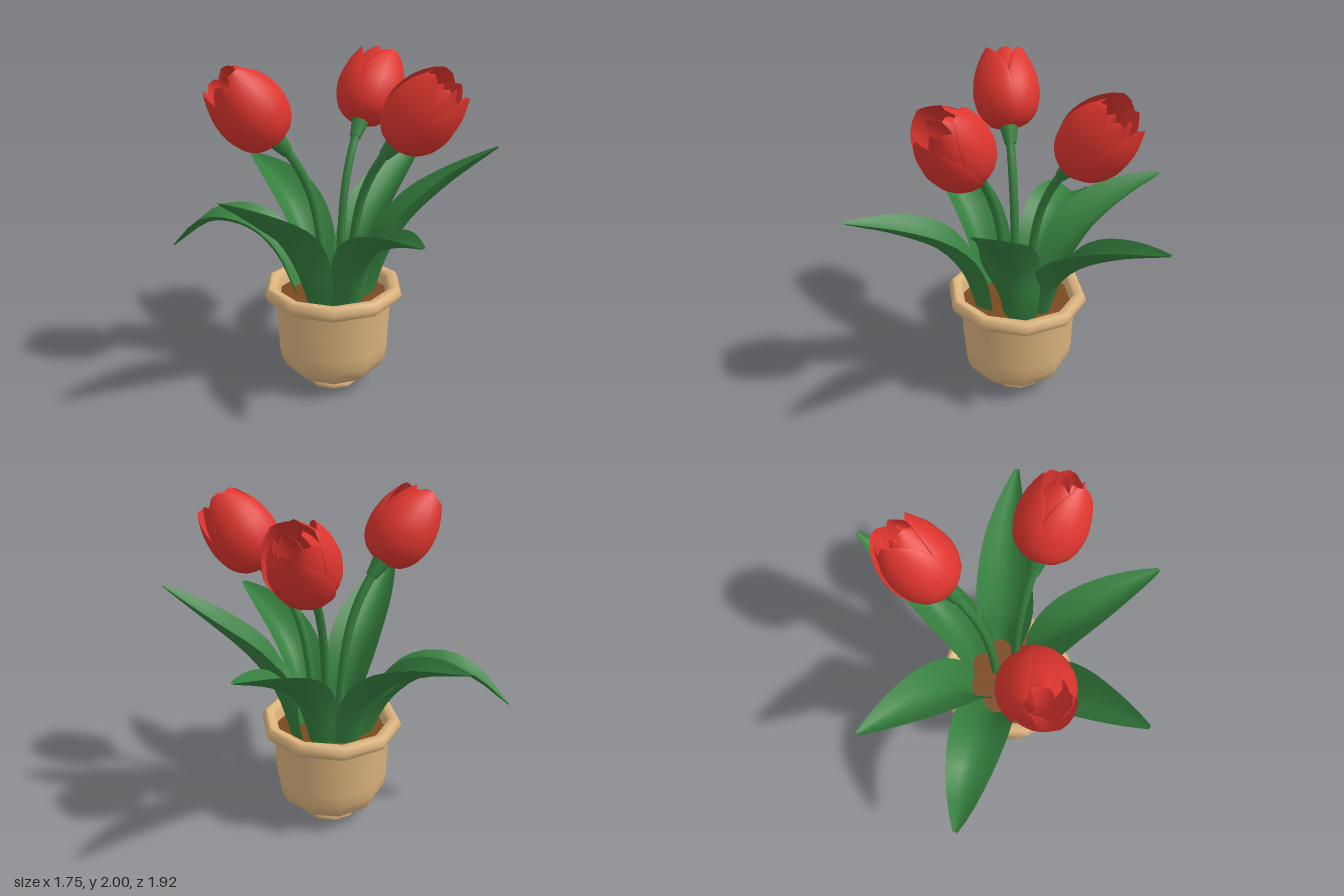
import * as THREE from 'three';

const mat = (name, color, side = THREE.FrontSide) => {
  const m = new THREE.MeshStandardMaterial({ color, side });
  m.name = name;
  return m;
};

export function createModel() {
  const clay = mat('clay', 0xdcb47e);
  const earth = mat('soil', 0x7a4a20);
  const green = mat('leaf green', 0x36803f, THREE.DoubleSide);
  const red = mat('petal red', 0xde352e, THREE.DoubleSide);

  const model = new THREE.Group();
  model.name = 'pottedTulips';
  const V3 = (p) => new THREE.Vector3(...p);
  const add = (parent, name, geometry, material) => {
    const mesh = new THREE.Mesh(geometry, material);
    mesh.name = name;
    parent.add(mesh);
    return mesh;
  };

  // Ten-sided pot turned from short profiles
  const pot = new THREE.Group();
  pot.name = 'pot';
  pot.position.z = -0.02;
  model.add(pot);
  const turn = (name, profile, material) => add(pot, name,
    new THREE.LatheGeometry(profile.map(([r, y]) => new THREE.Vector2(r, y)), 10, Math.PI / 10), material);
  turn('potBottom', [[0, 0], [0.165, 0]], clay);
  turn('potFoot', [[0.165, 0], [0.17, 0.01], [0.17, 0.03], [0.155, 0.045]], clay);
  turn('potBody', [[0.14, 0.035], [0.18, 0.045], [0.25, 0.085], [0.305, 0.135], [0.335, 0.2],
    [0.346, 0.28], [0.35, 0.42], [0.362, 0.59]], clay);
  const rim = turn('potRim', [[0.35, -0.04], [0.4, -0.042], [0.415, -0.03], [0.428, 0.005], [0.41, 0.042],
    [0.395, 0.046], [0.36, 0.042], [0.345, 0.02], [0.335, -0.06]], clay);
  rim.position.y = 0.622;
  rim.rotation.x = -0.025;
  turn('soil', [[0.35, 0.58], [0, 0.59]], earth);

  // Leaf: a channelled blade swept along its midrib
  const leaf = (name, points, width, cup) => {
    const curve = new THREE.CatmullRomCurve3(points.map(V3));
    const geo = new THREE.PlaneGeometry(2, 1, 6, 14);
    const pos = geo.attributes.position;
    const up = new THREE.Vector3(0, 1, 0);
    for (let i = 0; i < pos.count; i++) {
      const u = pos.getX(i);
      const t = pos.getY(i) + 0.5;
      const tangent = curve.getTangent(t);
      const side = tangent.clone().cross(up).normalize();
      const normal = side.clone().cross(tangent).normalize();
      const taper = t < 0.45
        ? 0.62 + 0.38 * Math.sin((t / 0.45) * Math.PI / 2)
        : 0.08 + 0.92 * Math.cos(((t - 0.45) / 0.55) * Math.PI / 2) ** 0.9;
      const p = curve.getPoint(t)
        .addScaledVector(side, u * width * taper)
        .addScaledVector(normal, cup * Math.abs(u) ** 1.6 * taper * (1 - 0.25 * t));
      pos.setXYZ(i, p.x, p.y, p.z);
    }
    geo.computeVertexNormals();
    add(model, name, geo, green);
  };
  leaf('frontLeaf', [[0.04, 0.55, 0.23], [0.05, 0.82, 0.31], [0.07, 1.01, 0.45],
    [0.1, 1.15, 0.69], [0.13, 1.245, 0.96]], 0.15, 0.125);
  leaf('frontLeftLeaf', [[0.24, 0.55, 0.03], [0.31, 0.82, 0.07], [0.43, 1.05, 0.11],
    [0.63, 1.28, 0.19], [0.87, 1.52, 0.33]], 0.17, 0.13);
  leaf('backLeftLeaf', [[0.18, 0.55, -0.17], [0.26, 0.81, -0.22], [0.39, 1.0, -0.31],
    [0.61, 1.18, -0.47], [0.87, 1.335, -0.65]], 0.155, 0.125);
  leaf('backLeaf', [[-0.04, 0.55, -0.25], [-0.07, 0.82, -0.34], [-0.12, 1.01, -0.48],
    [-0.19, 1.15, -0.7], [-0.27, 1.245, -0.96]], 0.165, 0.125);
  leaf('backRightLeaf', [[-0.19, 0.55, -0.17], [-0.28, 0.79, -0.24], [-0.42, 0.95, -0.33],
    [-0.63, 0.98, -0.46], [-0.87, 0.78, -0.62]], 0.17, 0.1);
  leaf('frontRightLeaf', [[-0.18, 0.55, 0.12], [-0.26, 0.82, 0.16], [-0.37, 1.03, 0.23],
    [-0.56, 1.23, 0.36], [-0.77, 1.425, 0.51]], 0.165, 0.125);

  // Petal: a thick curved patch of the bud, with one edge lifted so neighbours overlap
  const budProfile = new THREE.SplineCurve([[0.03, 0], [0.105, 0.025], [0.162, 0.085], [0.187, 0.16],
    [0.194, 0.235], [0.18, 0.33], [0.152, 0.41], [0.122, 0.475]].map((p) => new THREE.Vector2(...p)));
  const petalGeometry = (angle, scale, height, halfAngle, closing) => {
    const geo = new THREE.PlaneGeometry(2, 1, 20, 12);
    const pos = geo.attributes.position;
    for (let i = 0; i < pos.count; i++) {
      const loop = pos.getX(i) * Math.PI;
      const u = -Math.cos(loop);
      const v = pos.getY(i) + 0.5;
      const taper = 1 - 0.82 * Math.max(0, (v - 0.4) / 0.6) ** 3;
      const a = angle + u * halfAngle * taper;
      const p = budProfile.getPoint(v);
      const r = p.x * scale * (1 - closing * v ** 3)
        + 0.01 * u * Math.min(1, v * 3)
        + 0.008 * Math.sin(loop) * (1 - v ** 6);
      pos.setXYZ(i, r * Math.sin(a), p.y * height, r * Math.cos(a));
    }
    geo.computeVertexNormals();
    return geo;
  };

  // Tulip: built leaning toward +x, then turned to its direction
  const tilt = 0.69;
  const tulip = (name, heading, offset) => {
    const plant = new THREE.Group();
    plant.name = name;
    plant.position.set(Math.cos(heading) * offset, 0, -0.02 - Math.sin(heading) * offset);
    plant.rotation.y = heading;
    model.add(plant);
    const path = new THREE.CatmullRomCurve3([[0.05, 0.55, 0], [0.075, 0.9, 0], [0.125, 1.2, 0],
      [0.2, 1.39, 0], [0.275, 1.51, 0]].map(V3));
    add(plant, 'stem', new THREE.TubeGeometry(path, 14, 0.026, 8), green);

    const flower = new THREE.Group();
    flower.name = 'flower';
    flower.position.set(0.33, 1.575, 0);
    flower.rotation.z = -tilt;
    plant.add(flower);
    const base = add(flower, 'flowerBase', new THREE.CylinderGeometry(0.06, 0.034, 0.13, 8), green);
    base.position.y = -0.035;
    // Three whorls, each one closing further over the heart
    const whorls = [
      ['outerPetal', 0, 1, 1, 1.12, 0],
      ['innerPetal', Math.PI / 3, 0.93, 0.985, 1.1, 0.12],
      ['heartPetal', 0.3, 0.74, 0.96, 1.05, 0.4],
    ];
    for (const [part, turnBy, scale, height, halfAngle, closing] of whorls) {
      for (let k = 0; k < 3; k++) {
        const angle = Math.PI / 2 + turnBy + (k * Math.PI * 2) / 3;
        add(flower, part, petalGeometry(angle, scale, height, halfAngle, closing), red);
      }
    }
  };
  tulip('rightTulip', Math.PI, 0);
  tulip('backLeftTulip', Math.PI / 4, 0.03);
  tulip('frontLeftTulip', -Math.PI / 4, 0.05);

  return model;
}
